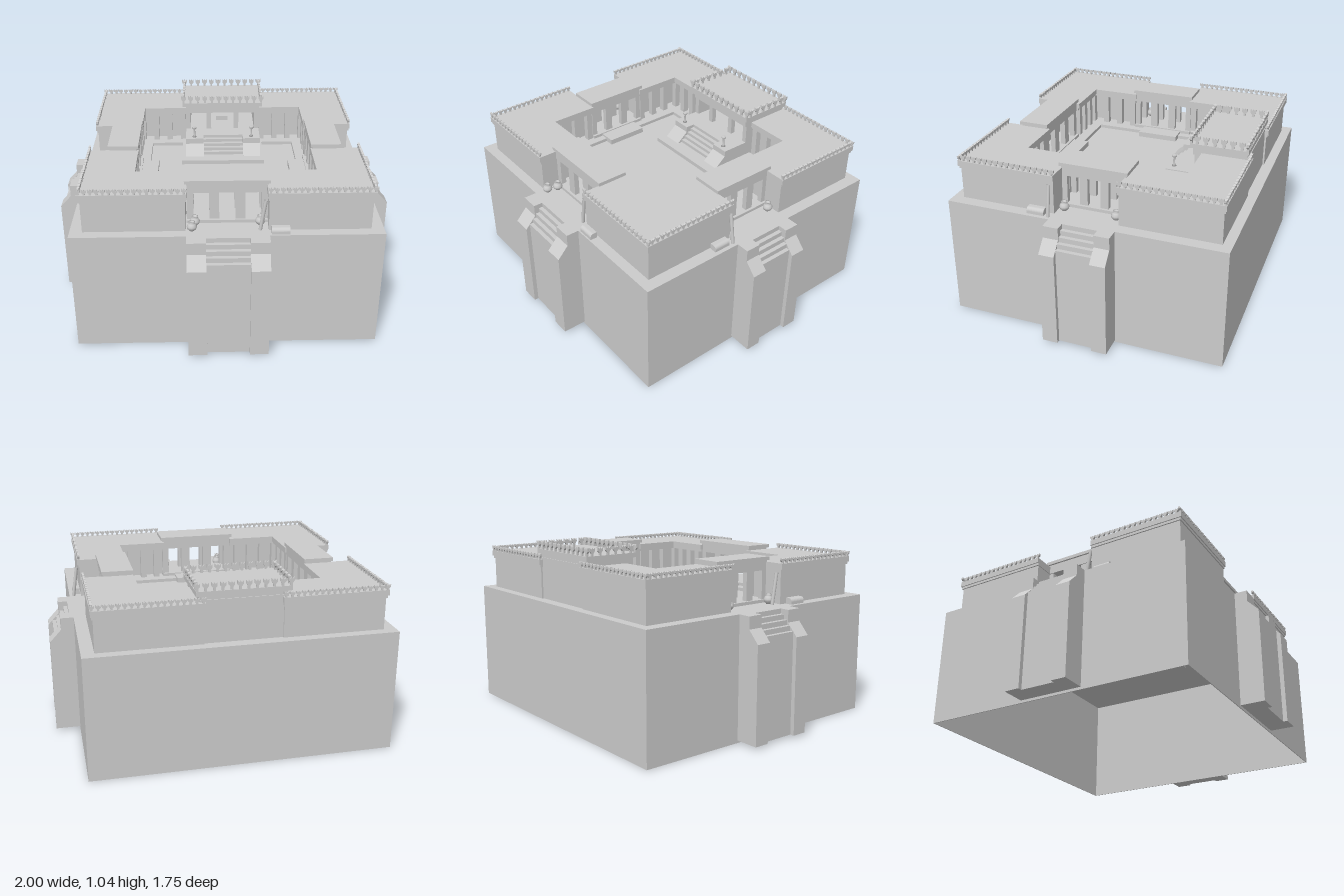
import * as THREE from 'three';
import { mergeGeometries } from 'three/addons/utils/BufferGeometryUtils.js';

const mat = new THREE.MeshStandardMaterial({ color: 0xcccccc, flatShading: true, side: THREE.DoubleSide });
const smooth = new THREE.MeshStandardMaterial({ color: 0xcccccc, side: THREE.DoubleSide });
const FLOOR = 0.71, MID = -0.075;

function add(parent, name, geo, material = mat) {
  const m = new THREE.Mesh(geo, material);
  m.name = name;
  parent.add(m);
  return m;
}
// Box given by its limits
function box(parent, name, x0, x1, y0, y1, z0, z1) {
  const m = add(parent, name, new THREE.BoxGeometry(x1 - x0, y1 - y0, z1 - z0));
  m.position.set((x0 + x1) / 2, (y0 + y1) / 2, (z0 + z1) / 2);
  return m;
}
const toShape = (pts) => new THREE.Shape(pts.map(([x, y]) => new THREE.Vector2(x, y)));
const rect = (x0, x1, z0, z1) => [[x0, z0], [x1, z0], [x1, z1], [x0, z1]];
// Plan outline of (x, z) points raised from y0 to y1, with an optional hole
function slab(parent, name, pts, y0, y1, hole) {
  const flip = (p) => p.map(([x, z]) => [x, -z]);
  const s = toShape(flip(pts));
  if (hole) s.holes.push(toShape(flip(hole)));
  const g = new THREE.ExtrudeGeometry(s, { depth: y1 - y0, bevelEnabled: false });
  return add(parent, name, g.rotateX(-Math.PI / 2).translate(0, y0, 0));
}
// Side profile of (z, y) points swept from x0 to x1
function prism(parent, name, profile, x0, x1) {
  const g = new THREE.ExtrudeGeometry(toShape(profile), { depth: x1 - x0, bevelEnabled: false });
  return add(parent, name, g.rotateY(-Math.PI / 2).translate(x1, 0, 0));
}
// Stair profile descending along +z
function stairs(z0, z1, y0, y1, n, bottom) {
  const p = [[z0, bottom], [z0, y1]];
  for (let i = 0; i < n; i++) {
    const z = z0 + (z1 - z0) * (i + 1) / n;
    p.push([z, y1 - (y1 - y0) * i / n]);
    p.push([z, y1 - (y1 - y0) * (i + 1) / n]);
  }
  p.push([z1, bottom]);
  return p;
}

// Flared, notched battlement teeth along a line
const tooth = (w, h) => new THREE.ExtrudeGeometry(toShape([
  [-w * 0.2, 0], [w * 0.2, 0], [w * 0.2, h * 0.35], [w * 0.5, h * 0.6], [w * 0.5, h],
  [w * 0.2, h * 0.8], [0, h], [-w * 0.2, h * 0.8], [-w * 0.5, h], [-w * 0.5, h * 0.6], [-w * 0.2, h * 0.35],
]), { depth: 0.012, bevelEnabled: false }).translate(0, 0, -0.006);

function battlement(parent, lines, y, w, h, pitch) {
  const parts = [];
  for (const [xa, za, xb, zb] of lines) {
    const len = Math.hypot(xb - xa, zb - za), n = Math.round(len / pitch);
    for (let i = 0; i <= n; i++) {
      const g = tooth(w, h);
      if (Math.abs(xb - xa) < Math.abs(zb - za)) g.rotateY(Math.PI / 2);
      parts.push(g.translate(xa + (xb - xa) * i / n, y, za + (zb - za) * i / n));
    }
  }
  add(parent, 'battlements', mergeGeometries(parts));
}

function pot(parent, x, z, y = FLOOR) {
  const pts = [[0, 0], [0.012, 0], [0.026, 0.015], [0.028, 0.028], [0.02, 0.043], [0.013, 0.048], [0.018, 0.055], [0.012, 0.055], [0.008, 0.045]];
  add(parent, 'pot', new THREE.LatheGeometry(pts.map((p) => new THREE.Vector2(...p)), 12), smooth).position.set(x, y, z);
}

// Gate with stair tower; outward is +z and z = 0 is the edge of the terrace
function gate(name, k, roof0, roof1) {
  const g = new THREE.Group();
  g.name = name;
  const half = 0.226 * k, st = 0.12 * k;
  for (const s of [-1, 1]) {
    const [a, b] = s < 0 ? [-half, -st] : [st, half];
    prism(g, 'stairFlank', [[-0.002, 0.015], [0.14, 0.015], [0.14, 0.57], [0.075, 0.64], [0.075, FLOOR], [-0.002, FLOOR]], a, b);
    pot(g, s * 0.18 * k, -0.125);
  }
  prism(g, 'outerStairs', stairs(-0.002, 0.115, 0.57, FLOOR, 5, 0.015), -st, st);
  box(g, 'threshold', -half, half, FLOOR, 0.728, roof0, roof1);
  box(g, 'courtStep', -0.15 * k, 0.15 * k, 0.685, 0.722, roof0 - 0.1, roof0);
  // Two screens of four piers under a raised roof
  const edges = [-0.225, -0.187, -0.1, -0.045, 0.045, 0.1, 0.187, 0.225];
  for (const z of [roof0 + 0.015, roof1 - 0.045])
    for (let i = 0; i < 8; i += 2) box(g, 'pier', edges[i] * k, edges[i + 1] * k, FLOOR, 0.895, z, z + 0.03);
  box(g, 'lintel', -0.225 * k, 0.225 * k, 0.893, 0.95, roof0 + 0.01, roof1 - 0.01);
  box(g, 'gateRoof', -0.236 * k, 0.236 * k, 0.95, 0.97, roof0, roof1);
  return g;
}

// Corner wing: L-shaped body, colonnade on the court, cornice and battlements
function wing(s, zo, zi, ze, xe) {
  const g = new THREE.Group();
  g.name = 'cornerWing';
  const d = Math.sign(zo - zi);
  const ell = (xo, xi, z0, z1, x2, z2) => [[xo, z0], [x2, z0], [x2, z1], [xi, z1], [xi, z2], [xo, z2]].map(([x, z]) => [s * x, z]);
  slab(g, 'wingWall', ell(0.79, 0.58, zo - d * 0.01, zi + d * 0.07, xe + 0.005, ze + d * 0.005), FLOOR, 0.9);
  slab(g, 'cornice', ell(0.797, 0.52, zo - d * 0.003, zi + d * 0.01, xe, ze), 0.893, 0.908);
  slab(g, 'wingRoof', ell(0.803, 0.51, zo + d * 0.003, zi, xe - 0.003, ze), 0.908, 0.94);
  const pillar = (x, z) => box(g, 'courtPillar', s * x - 0.018, s * x + 0.018, FLOOR, 0.895, z - 0.018, z + 0.018);
  for (let i = 0; i < 4; i++) pillar(xe + 0.05 + (0.53 - xe - 0.05) * i / 3, zi + d * 0.03);
  for (let i = 0; i < 3; i++) pillar(0.54, ze + d * 0.03 + (zi - ze) * i / 3);
  battlement(g, [
    [s * (xe + 0.01), zo - d * 0.006, s * 0.794, zo - d * 0.006],
    [s * 0.794, ze + d * 0.01, s * 0.794, zo - d * 0.03],
  ], 0.938, 0.028, 0.032, 0.034);
  return g;
}

// Throne hall with its podium and stair
function hall() {
  const g = new THREE.Group();
  g.name = 'throneHall';
  const top = 0.81;
  box(g, 'podiumBase', -0.265, 0.26, 0.685, 0.715, -0.56, -0.21);
  box(g, 'podium', -0.24, 0.24, FLOOR, top, -0.8, -0.42);
  prism(g, 'podiumStairs', stairs(-0.422, -0.3, 0.715, top, 5, 0.7), -0.125, 0.13);
  for (const s of [-1, 1]) {
    const [a, b] = s < 0 ? [-0.24, -0.125] : [0.13, 0.24];
    prism(g, 'podiumFlank', [[-0.47, 0.7], [-0.27, 0.7], [-0.27, 0.715], [-0.34, 0.775], [-0.34, top], [-0.47, top]], a, b);
    box(g, 'sideWall', s * 0.225 - 0.015, s * 0.225 + 0.015, FLOOR, 0.95, -0.8, -0.51);
    box(g, 'hallPillar', s * 0.09 - 0.016, s * 0.09 + 0.016, top, 0.95, -0.54, -0.51);
    // Small lamp stand on each flank
    const pts = [[0, 0], [0.014, 0], [0.006, 0.012], [0.006, 0.05], [0.015, 0.062], [0.012, 0.07], [0, 0.066]];
    add(g, 'lampStand', new THREE.LatheGeometry(pts.map((p) => new THREE.Vector2(...p)), 10), smooth).position.set(s * 0.185, top, -0.375);
  }
  box(g, 'backWall', -0.24, 0.24, FLOOR, 0.95, -0.815, -0.79);
  box(g, 'throneSeat', -0.04, 0.04, top, 0.84, -0.72, -0.65);
  box(g, 'throneBack', -0.04, 0.04, top, 0.9, -0.735, -0.72);
  box(g, 'hallArchitrave', -0.24, 0.24, 0.925, 0.972, -0.81, -0.5);
  box(g, 'hallRoof', -0.26, 0.26, 0.972, 0.998, -0.82, -0.485);
  battlement(g, [
    [-0.253, -0.813, 0.253, -0.813], [-0.253, -0.492, 0.253, -0.492],
    [-0.253, -0.78, -0.253, -0.525], [0.253, -0.78, 0.253, -0.525],
  ], 0.996, 0.032, 0.048, 0.048);
  return g;
}

export function createModel() {
  const root = new THREE.Group();
  root.name = 'palace';

  // Hollow terrace, open below, with a sunken court
  slab(root, 'terraceWalls', rect(-0.86, 0.86, -0.88, 0.73), 0, 0.69, rect(-0.855, 0.855, -0.875, 0.725));
  slab(root, 'terraceTop', rect(-0.86, 0.86, -0.88, 0.73), 0.69, FLOOR, rect(-0.465, 0.465, -0.505, 0.345));
  box(root, 'courtFloor', -0.47, 0.47, 0.683, 0.69, -0.51, 0.35);

  // Gates on the front and both sides
  const front = gate('frontGate', 1, -0.325, -0.145);
  front.position.set(0.003, 0, 0.73);
  root.add(front);
  for (const s of [-1, 1]) {
    const side = gate('sideGate', 0.84, -0.35, -0.17);
    side.position.set(s * 0.86, 0, MID);
    side.rotation.y = s * Math.PI / 2;
    root.add(side);
    root.add(wing(s, 0.68, 0.395, 0.108, 0.222));
    root.add(wing(s, -0.835, -0.55, -0.255, 0.212));
  }
  root.add(hall());

  // Round-topped benches against the outer walls
  const bench = (x, z, turn) => {
    const p = new THREE.Shape();
    p.moveTo(0, 0);
    p.lineTo(0.042, 0);
    p.absarc(0.022, 0.015, 0.02, 0, Math.PI / 2, false);
    p.lineTo(0, 0.035);
    const m = add(root, 'bench', new THREE.ExtrudeGeometry(p, { depth: 0.1, bevelEnabled: false, curveSegments: 6 }).translate(0, 0, -0.05));
    m.position.set(x, FLOOR, z);
    m.rotation.y = turn;
  };
  bench(0.795, 0.205, 0);
  bench(-0.795, 0.205, Math.PI);
  bench(0.29, 0.68, -Math.PI / 2);

  // Poles leaning on the walls beside the gates
  const pole = (a, b) => {
    const path = new THREE.LineCurve3(new THREE.Vector3(...a), new THREE.Vector3(...b));
    add(root, 'leaningPole', new THREE.TubeGeometry(path, 1, 0.01, 8), smooth);
  };
  pole([0.835, FLOOR, 0.13], [0.808, 0.89, 0.13]);
  pole([0.18, FLOOR, 0.665], [0.208, 0.89, 0.665]);
  pole([-0.775, FLOOR, 0.065], [-0.775, 0.89, 0.095]);
  pot(root, -0.193, 0.665);
  return root;
}
